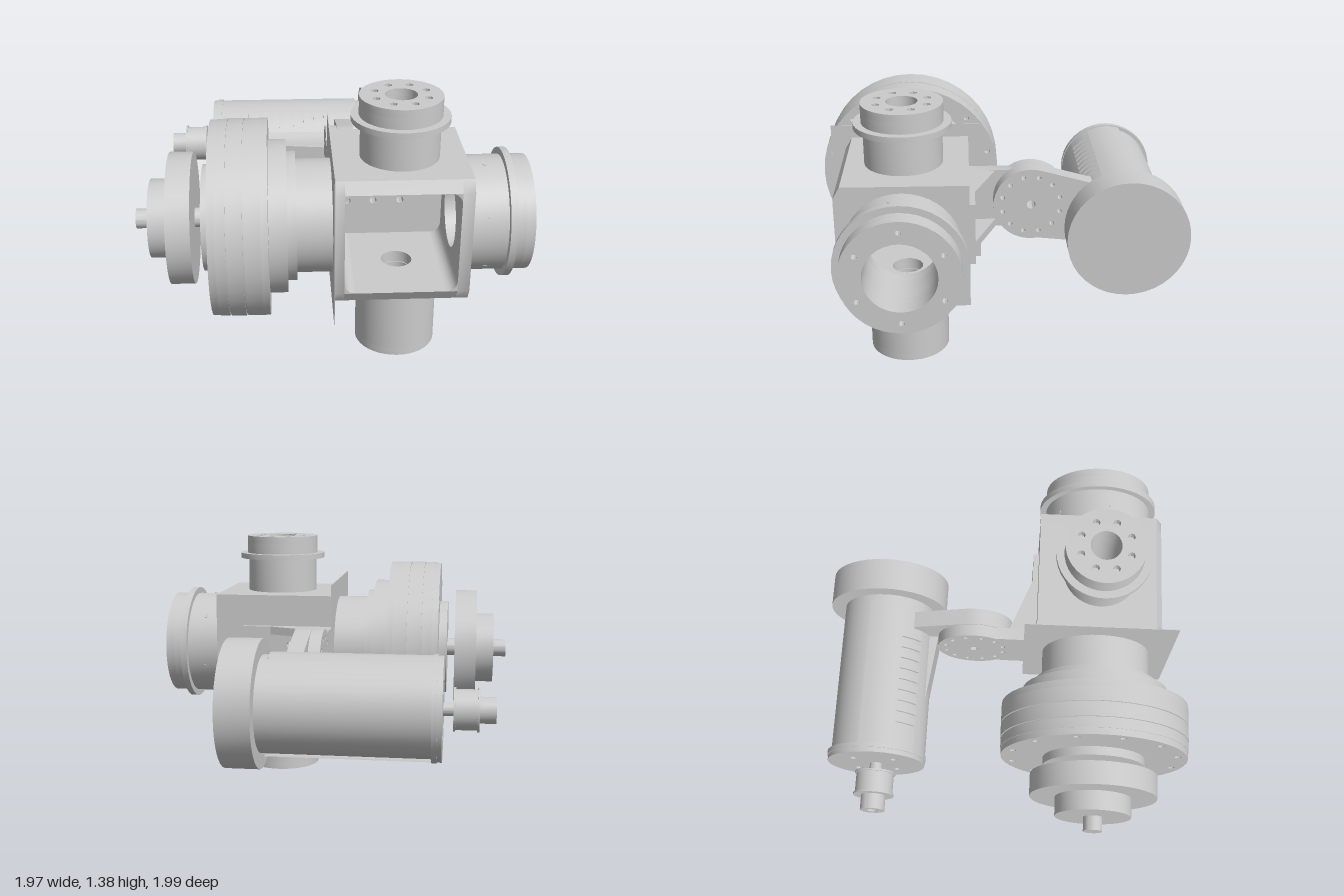
import * as THREE from 'three';
import { toCreasedNormals } from 'three/addons/utils/BufferGeometryUtils.js';

const grey = new THREE.MeshStandardMaterial({ color: 0xcccccc });
const greyThin = new THREE.MeshStandardMaterial({ color: 0xcccccc, side: THREE.DoubleSide });
const rad = THREE.MathUtils.degToRad;

// Outline helpers
const poly = (pts) => new THREE.Shape(pts.map(([a, b]) => new THREE.Vector2(a, b)));
const rect = (a0, b0, a1, b1) => poly([[a0, b0], [a1, b0], [a1, b1], [a0, b1]]);
function circlePts(u, v, r, n) {
  return Array.from({ length: n }, (_, i) => {
    const a = (i / n) * Math.PI * 2;
    return new THREE.Vector2(u + r * Math.cos(a), v + r * Math.sin(a));
  });
}
function drill(shape, u, v, r, n = 32) {
  shape.holes.push(new THREE.Path(circlePts(u, v, r, n)));
  return shape;
}
function boltCircle(shape, u, v, r, count, size) {
  for (let i = 0; i < count; i++) {
    const a = ((i + 0.5) / count) * Math.PI * 2;
    drill(shape, u + r * Math.cos(a), v + r * Math.sin(a), size, 8);
  }
  return shape;
}

export function createModel() {
  const root = new THREE.Group();

  function add(parent, name, geo, mat = grey) {
    const mesh = new THREE.Mesh(toCreasedNormals(geo, 0.6), mat);
    mesh.name = name;
    parent.add(mesh);
    return mesh;
  }
  function group(name) {
    const g = new THREE.Group();
    g.name = name;
    root.add(g);
    return g;
  }
  // Extrude from s0 to s1 along an axis; outline axes: x -> (-z, y), y -> (x, -z), z -> (x, y)
  function extrude(parent, name, shape, axis, s0, s1) {
    const geo = new THREE.ExtrudeGeometry(shape, { depth: s1 - s0, bevelEnabled: false, curveSegments: 8 });
    geo.translate(0, 0, s0);
    if (axis === 'x') geo.rotateY(Math.PI / 2);
    if (axis === 'y') geo.rotateX(-Math.PI / 2);
    return add(parent, name, geo);
  }
  // Disc or ring with an optional bore and bolt circle [radius, count, size]
  function disc(parent, name, axis, [u, v], s0, s1, r, bore = 0, bolts = null) {
    const shape = new THREE.Shape(circlePts(u, v, r, 40));
    if (bore) drill(shape, u, v, bore);
    if (bolts) boltCircle(shape, u, v, ...bolts);
    return extrude(parent, name, shape, axis, s0, s1);
  }

  const X = [-0.495, 0.73];   // main horizontal axis
  const Y = [0.34, -0.495];   // vertical axis
  const M = [0.67, 0.625];    // motor axis

  // Hollow housing, open at the front
  const housing = group('housing');
  const side = () => poly([[-0.165, 0.4], [-0.165, 1.06], [-0.79, 1.06], [-0.825, 1.0], [-0.825, 0.46], [-0.79, 0.4]]);
  extrude(housing, 'leftWall', drill(side(), ...X, 0.18), 'x', 0.61, 0.67);
  extrude(housing, 'rightWall', drill(side(), ...X, 0.11), 'x', 0, 0.05);
  const lid = () => rect(0.05, -0.79, 0.61, -0.165);
  extrude(housing, 'topWall', drill(lid(), ...Y, 0.08), 'y', 1.0, 1.06);
  extrude(housing, 'bottomWall', drill(lid(), ...Y, 0.08), 'y', 0.4, 0.46);
  extrude(housing, 'topLip', poly([[-0.79, 1.0], [-0.825, 1.0], [-0.79, 1.06]]), 'x', 0.05, 0.61);
  extrude(housing, 'bottomLip', poly([[-0.79, 0.46], [-0.825, 0.46], [-0.79, 0.4]]), 'x', 0.05, 0.61);
  const boltPattern = (shape) => {
    for (const x of [0.1, 0.24, 0.385]) for (const y of [0.66, 0.78]) drill(shape, x, y, 0.02, 8);
    return shape;
  };
  extrude(housing, 'backWall', boltPattern(rect(0.05, 0.46, 0.61, 1.0)), 'z', 0.165, 0.21);
  // Rounded inner corners
  for (const sx of [-1, 1]) for (const sy of [-1, 1]) {
    const f = 0.055, cx = 0.33 + sx * 0.28, cy = 0.73 + sy * 0.27;
    const pts = [[cx, cy]];
    for (let i = 0; i <= 6; i++) {
      const a = (i / 6) * Math.PI / 2;
      pts.push([cx - sx * f * (1 - Math.cos(a)), cy - sy * f * (1 - Math.sin(a))]);
    }
    extrude(housing, 'cornerFillet', poly(pts), 'z', 0.21, 0.825);
  }
  // Thin square plate on the housing's right side
  extrude(housing, 'squarePlate', drill(rect(-0.9, 0.33, -0.1, 1.13), ...X, 0.28), 'x', -0.004, 0);

  // Upper and lower bosses
  const column = group('verticalBosses');
  disc(column, 'upperNeck', 'y', Y, 1.06, 1.25, 0.2, 0.08);
  disc(column, 'upperFlange', 'y', Y, 1.25, 1.28, 0.247, 0.08);
  disc(column, 'upperCollar', 'y', Y, 1.28, 1.34, 0.207, 0.08);
  disc(column, 'upperFace', 'y', Y, 1.34, 1.38, 0.207, 0.08, [0.137, 8, 0.02]);
  disc(column, 'lowerBoss', 'y', Y, 0.04, 0.4, 0.21, 0.075);
  disc(column, 'lowerFace', 'y', Y, 0, 0.04, 0.21, 0.075, [0.155, 6, 0.015]);

  // Left bearing tube
  const leftTube = group('leftTube');
  disc(leftTube, 'tubeBody', 'x', X, 0.67, 0.855, 0.295, 0.18);
  disc(leftTube, 'tubeFlange', 'x', X, 0.855, 0.89, 0.33, 0.18);
  disc(leftTube, 'tubeCollar', 'x', X, 0.89, 0.94, 0.295, 0.18);
  disc(leftTube, 'tubeFace', 'x', X, 0.94, 0.985, 0.295, 0.18, [0.24, 6, 0.015]);
  // Small radial screws on the tube
  for (let i = 0; i < 6; i++) {
    const screw = add(leftTube, 'setScrew', new THREE.CylinderGeometry(0.011, 0.011, 0.01, 8));
    const a = rad(20 + i * 60);
    screw.position.set(0.76, 0.73 + 0.293 * Math.sin(a), 0.495 + 0.293 * Math.cos(a));
    screw.rotation.x = Math.PI / 2 - a;
  }

  // Right drive: stacked drum, pulley and shaft
  const drive = group('drive');
  disc(drive, 'driveTube', 'x', X, -0.31, 0, 0.29, 0.11);
  disc(drive, 'bearingRing', 'x', X, -0.225, -0.18, 0.33, 0.305);
  disc(drive, 'bearingInnerRing', 'x', X, -0.225, -0.19, 0.3, 0.28);
  disc(drive, 'bearingHousing', 'x', X, -0.315, -0.225, 0.39, 0.28, [0.36, 12, 0.012]);
  disc(drive, 'drumInnerFace', 'x', X, -0.35, -0.315, 0.5, 0.11, [0.455, 12, 0.016]);
  disc(drive, 'drumInner', 'x', X, -0.428, -0.35, 0.5);
  disc(drive, 'drumGroove', 'x', X, -0.52, -0.42, 0.49);
  disc(drive, 'drumMiddle', 'x', X, -0.508, -0.434, 0.5);
  disc(drive, 'drumOuter', 'x', X, -0.565, -0.514, 0.498);
  disc(drive, 'drumOuterFace', 'x', X, -0.6, -0.565, 0.495, 0, [0.445, 12, 0.018]);
  disc(drive, 'drumHub', 'x', X, -0.645, -0.6, 0.27);
  disc(drive, 'driveShaft', 'x', X, -0.985, -0.645, 0.05);
  disc(drive, 'pulleyDisc', 'x', X, -0.81, -0.69, 0.335);
  disc(drive, 'pulleyHub', 'x', X, -0.91, -0.81, 0.2);

  // Hinged bracket between housing and motor
  const bracket = group('bracket');
  extrude(bracket, 'basePlate', boltPattern(rect(0, 0.55, 0.51, 0.885)), 'z', 0.135, 0.165);
  for (const y of [0.55, 0.84]) {
    extrude(bracket, 'gusset', poly([[0, 0.005], [0.35, -0.135], [0.35, -0.165], [0, -0.165]]), 'y', y, y + 0.045);
  }
  const hinge = [0.17, 0.72];
  const roundEnd = (a0, a1) => {
    const pts = [];
    for (let i = 0; i <= 24; i++) {
      const a = rad(a0 + ((a1 - a0) * i) / 24);
      pts.push([hinge[0] + 0.203 * Math.cos(a), hinge[1] + 0.203 * Math.sin(a)]);
    }
    return pts;
  };
  const drillHinge = (s) => drill(boltCircle(s, ...hinge, 0.16, 12, 0.013), ...hinge, 0.025, 10);
  extrude(bracket, 'housingArm', drillHinge(poly([...roundEnd(-125, 125), [-0.15, 0.885], [-0.15, 0.55]])), 'x', 0, 0.064);
  extrude(bracket, 'motorArm', drillHinge(poly([...roundEnd(75, 280), [0.5, 0.49], [0.5, 0.84]])), 'x', 0.066, 0.155);
  extrude(bracket, 'motorFoot', poly([[-0.35, 0.43], [0.066, 0.375], [0.15, 0.375], [0.15, 0.45]]), 'y', 0.54, 0.71);

  // Motor with end cap, flange and output pulley
  const motor = group('motor');
  disc(motor, 'motorBody', 'x', M, -0.6, 0.24, 0.245);
  disc(motor, 'motorCap', 'x', M, 0.24, 0.415, 0.325);
  disc(motor, 'motorFlange', 'x', M, -0.625, -0.6, 0.265);
  disc(motor, 'motorFlangeFace', 'x', M, -0.65, -0.625, 0.26, 0, [0.15, 4, 0.02]);
  disc(motor, 'motorShaft', 'x', M, -0.71, -0.65, 0.033);
  disc(motor, 'smallPulley', 'x', M, -0.825, -0.7, 0.1);
  for (const x of [-0.825, -0.71]) disc(motor, 'pulleyRim', 'x', M, x, x + 0.01, 0.108);
  disc(motor, 'smallPulleyHub', 'x', M, -0.905, -0.825, 0.065, 0.03);

  // Curved sleeve around the motor; angles run from the top towards the front
  function sleeve(name, x0, x1, a0, a1) {
    const profile = [[0.24, x0], [0.26, x0], [0.26, x1], [0.24, x1]].map(([r, x]) => new THREE.Vector2(r, x));
    const n = Math.max(2, Math.ceil((a1 - a0) / 9));
    const geo = new THREE.LatheGeometry(profile, n, rad(a0 - 90), rad(a1 - a0));
    geo.rotateZ(-Math.PI / 2);
    add(motor, name, geo, greyThin).position.set(0, M[1], -M[0]);
  }
  sleeve('sleeveTop', -0.6, 0.2, -16, 26);
  sleeve('sleeveSide', -0.6, 0.23, 54, 196);
  // Bars left between nine cooling slots
  const slots = 9, pitch = 0.06, slotWidth = 0.026, first = -0.5;
  for (let i = 0; i <= slots; i++) {
    const x0 = i === 0 ? -0.6 : first + (i - 1) * pitch + slotWidth;
    const x1 = i === slots ? 0.23 : first + i * pitch;
    sleeve('slotBar', x0, x1, 26, 54);
  }
  return root;
}
